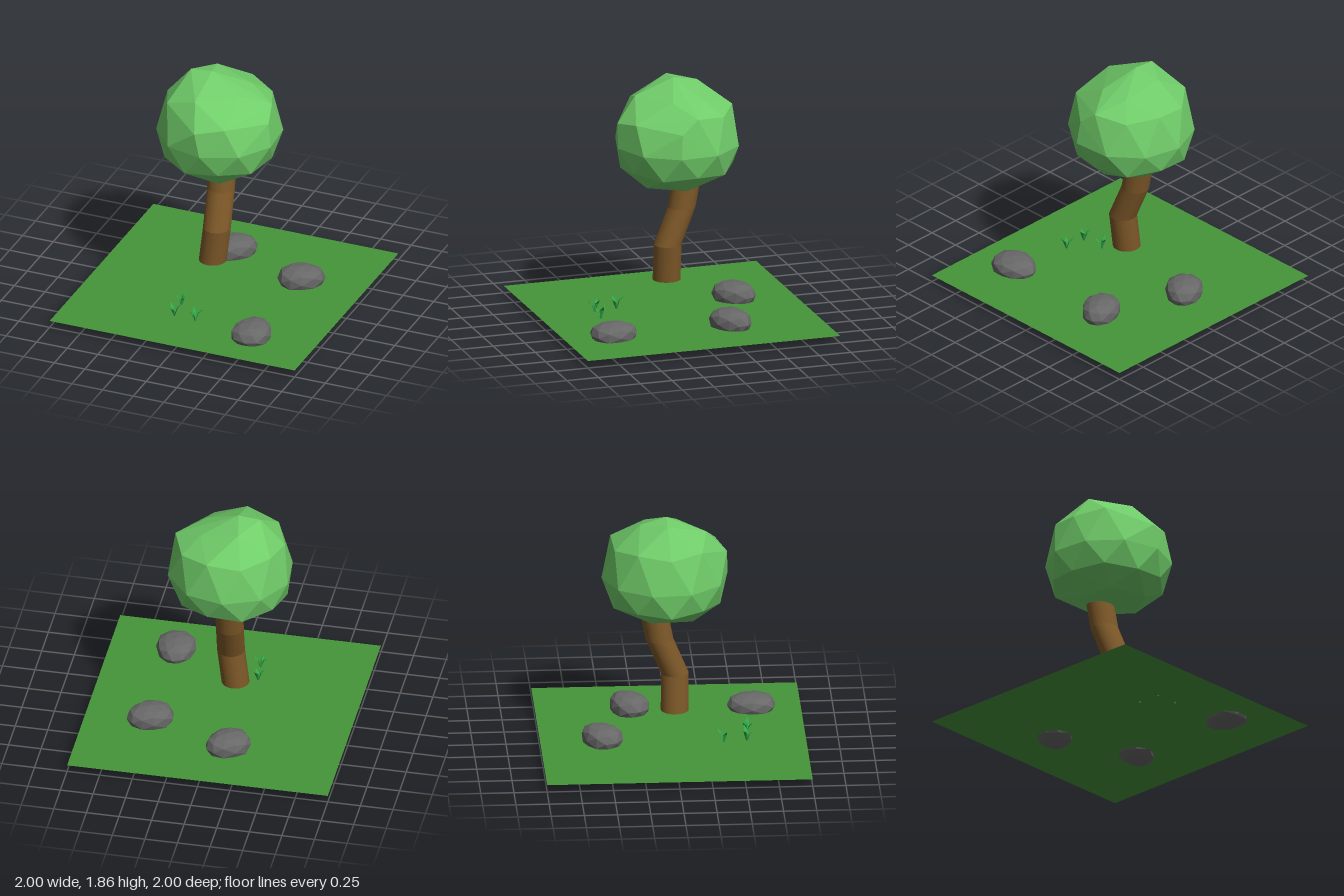
import * as THREE from 'three';
import { ConvexGeometry } from 'three/addons/geometries/ConvexGeometry.js';

const flat = (color) => new THREE.MeshStandardMaterial({ color, flatShading: true });
const rad = THREE.MathUtils.degToRad;

function addMesh(parent, name, geometry, material) {
  const mesh = new THREE.Mesh(geometry, material);
  mesh.name = name;
  parent.add(mesh);
  return mesh;
}

// Calls move(vertex) on every vertex of a geometry
function reshape(geometry, move) {
  const p = geometry.attributes.position;
  const v = new THREE.Vector3();
  for (let i = 0; i < p.count; i++) {
    move(v.fromBufferAttribute(p, i));
    p.setXYZ(i, v.x, v.y, v.z);
  }
  geometry.computeVertexNormals();
  return geometry;
}

// Trunk: level rings shifted along a kinked centre line
function trunkGeometry() {
  const line = [[-0.085, 0.285, 0.015], [-0.05, 0.57, 0.018], [-0.065, 0.85, -0.098], [-0.07, 1.13, -0.152]];
  return reshape(new THREE.CylinderGeometry(0.105, 0.105, 3, 32, 3), (v) => {
    const [x, y, z] = line[Math.round(v.y + 1.5)];
    v.set(v.x + x, y, v.z + z);
  });
}

// Crown: hull of staggered rings, with a flattened upper front corner
function crownGeometry() {
  const points = [];
  const ring = (y, r, start, step, count, cx = -0.06, cz = -0.06, wave = 0) => {
    for (let i = 0; i < count; i++) {
      const a = rad(start + step * i);
      const dy = i % 2 ? wave : -wave;
      points.push(new THREE.Vector3(cx + r * Math.cos(a), y + dy, cz + r * Math.sin(a)));
    }
  };
  ring(1.03, 0, 0, 0, 1, -0.02, -0.05);
  ring(1.057, 0.265, 68, 72, 5, -0.05, -0.03);
  ring(1.18, 0.425, 32, 36, 10, -0.07, -0.06, 0.012);
  ring(1.365, 0.478, 14, 36, 10);
  ring(1.64, 0.415, 140, 36, 7, -0.06, -0.06, -0.015);
  const upper = [
    [0.38, 1.55, 0.04], [0.14, 1.585, 0.33], [-0.07, 1.55, 0.41],
    [0.14, 1.735, 0.04], [-0.13, 1.735, 0.25], [0.14, 1.735, -0.2],
    [-0.29, 1.838, -0.05], [-0.16, 1.81, -0.25], [-0.12, 1.855, -0.05],
  ];
  for (const p of upper) points.push(new THREE.Vector3(...p));
  return new ConvexGeometry(points);
}

// Rock: flattened egg with a fuller top and bottom, narrow towards +x
function rockGeometry(length, height, width) {
  return reshape(new THREE.IcosahedronGeometry(1, 1), (v) => {
    const y = Math.sign(v.y) * Math.pow(Math.abs(v.y), 0.75);
    v.set(v.x * length, y * height, v.z * width * (1 - 0.15 * v.x));
  });
}

// Leaf: narrow at the base, broad above, bending outwards along +x
function leafGeometry() {
  const sections = [[0, 0, 0.004], [0.012, 0.045, 0.012], [0.024, 0.08, 0.018], [0.058, 0.115, 0.003]];
  return reshape(new THREE.CylinderGeometry(1, 1, 3, 4, 3), (v) => {
    const [x, y, w] = sections[Math.round(v.y + 1.5)];
    v.set(x + v.x * 0.004, y, v.z * w);
  });
}

export function createModel() {
  const model = new THREE.Group();
  model.name = 'treeOnLawn';

  // Lawn
  const lawnMaterial = new THREE.MeshStandardMaterial({ color: 0x45953b, side: THREE.DoubleSide });
  const lawn = addMesh(model, 'lawn', new THREE.PlaneGeometry(2, 2).rotateX(-Math.PI / 2), lawnMaterial);
  lawn.position.y = 0.055;

  // Tree
  const tree = new THREE.Group();
  tree.name = 'tree';
  model.add(tree);
  addMesh(tree, 'trunk', trunkGeometry(), flat(0x7d5828));
  addMesh(tree, 'crown', crownGeometry(), flat(0x70cc69));

  // Rocks: x, z, half length, half height, half width, turn
  const rockMaterial = flat(0x686868);
  const rocks = [
    [-0.14, -0.54, 0.178, 0.0975, 0.143, 37],
    [0.505, -0.3, 0.182, 0.0975, 0.142, 25],
    [0.495, 0.625, 0.184, 0.0875, 0.152, 93],
  ];
  for (const [x, z, length, height, width, turn] of rocks) {
    const rock = addMesh(model, 'rock', rockGeometry(length, height, width), rockMaterial);
    rock.position.set(x, height, z);
    rock.rotation.y = rad(turn);
  }

  // Grass tufts: x, z, turn
  const leafMaterial = flat(0x2fa84a);
  const leaf = leafGeometry();
  for (const [x, z, turn] of [[-0.17, 0.555, 20], [0.005, 0.565, 0], [-0.185, 0.38, 70]]) {
    const tuft = new THREE.Group();
    tuft.name = 'grassTuft';
    tuft.position.set(x, 0.043, z);
    tuft.rotation.y = rad(turn);
    model.add(tuft);
    [0, 130, 235].forEach((angle, i) => {
      const blade = addMesh(tuft, 'leaf', leaf, leafMaterial);
      blade.rotation.y = rad(angle);
      blade.scale.setScalar(1 - 0.1 * i);
    });
  }
  return model;
}
